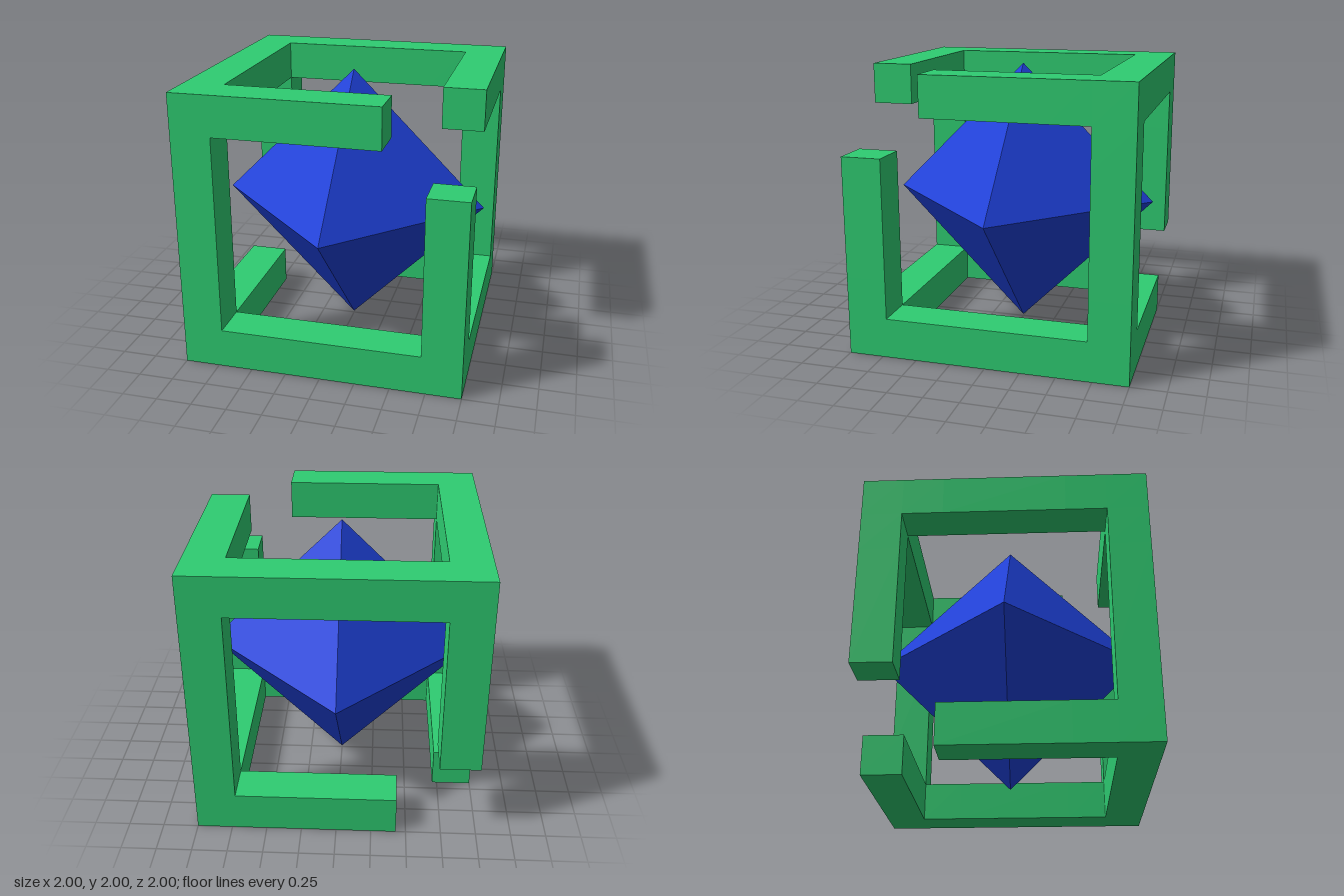
import * as THREE from 'three';
import { mergeGeometries } from 'three/addons/utils/BufferGeometryUtils.js';

// Cut planes shared by the three axes: bar thickness is 2/7, broken corners remove 4/7
const T = 2 / 7;
const cuts = [-1, -1 + T, -1 + 2 * T, 1 - 2 * T, 1 - T, 1];

// A cell is solid when it lies on a cube edge and away from the two broken corners
function solid(c) {
  if (c.some(i => i < 0 || i > 4)) return false;
  const onEdge = c.filter(i => i === 0 || i === 4).length >= 2;
  return onEdge && !c.every(i => i >= 3) && !c.every(i => i <= 1);
}

// One face of a cell, across the given axis, on the side given by sign
function cellFace(cell, axis, sign) {
  const size = cell.map(i => cuts[i + 1] - cuts[i]);
  const mid = cell.map(i => (cuts[i + 1] + cuts[i]) / 2);
  const [w, h] = [[size[2], size[1]], [size[0], size[2]], [size[0], size[1]]][axis];
  const face = new THREE.PlaneGeometry(w, h);
  if (axis === 0) face.rotateY(sign * Math.PI / 2);
  if (axis === 1) face.rotateX(-sign * Math.PI / 2);
  if (axis === 2 && sign < 0) face.rotateY(Math.PI);
  mid[axis] += sign * size[axis] / 2;
  return face.translate(...mid);
}

// Only the outer skin of the cage is kept, so no faces hide inside the joints
function cageGeometry() {
  const faces = [];
  for (let x = 0; x < 5; x++) for (let y = 0; y < 5; y++) for (let z = 0; z < 5; z++) {
    const cell = [x, y, z];
    if (!solid(cell)) continue;
    for (let axis = 0; axis < 3; axis++) for (const sign of [-1, 1]) {
      const next = [...cell];
      next[axis] += sign;
      if (!solid(next)) faces.push(cellFace(cell, axis, sign));
    }
  }
  return mergeGeometries(faces);
}

export function createModel() {
  const model = new THREE.Group();
  model.name = 'cagedCrystal';

  // Cube frame with two opposite corners missing
  const frame = new THREE.Mesh(cageGeometry(),
    new THREE.MeshStandardMaterial({ color: 0x2ecc71, flatShading: true }));
  frame.name = 'cubeFrame';

  // Octahedral crystal floating in the middle
  const crystal = new THREE.Mesh(new THREE.OctahedronGeometry(0.987),
    new THREE.MeshStandardMaterial({ color: 0x1e40d8, flatShading: true }));
  crystal.name = 'crystal';

  frame.position.y = crystal.position.y = 1;
  model.add(frame, crystal);
  return model;
}
